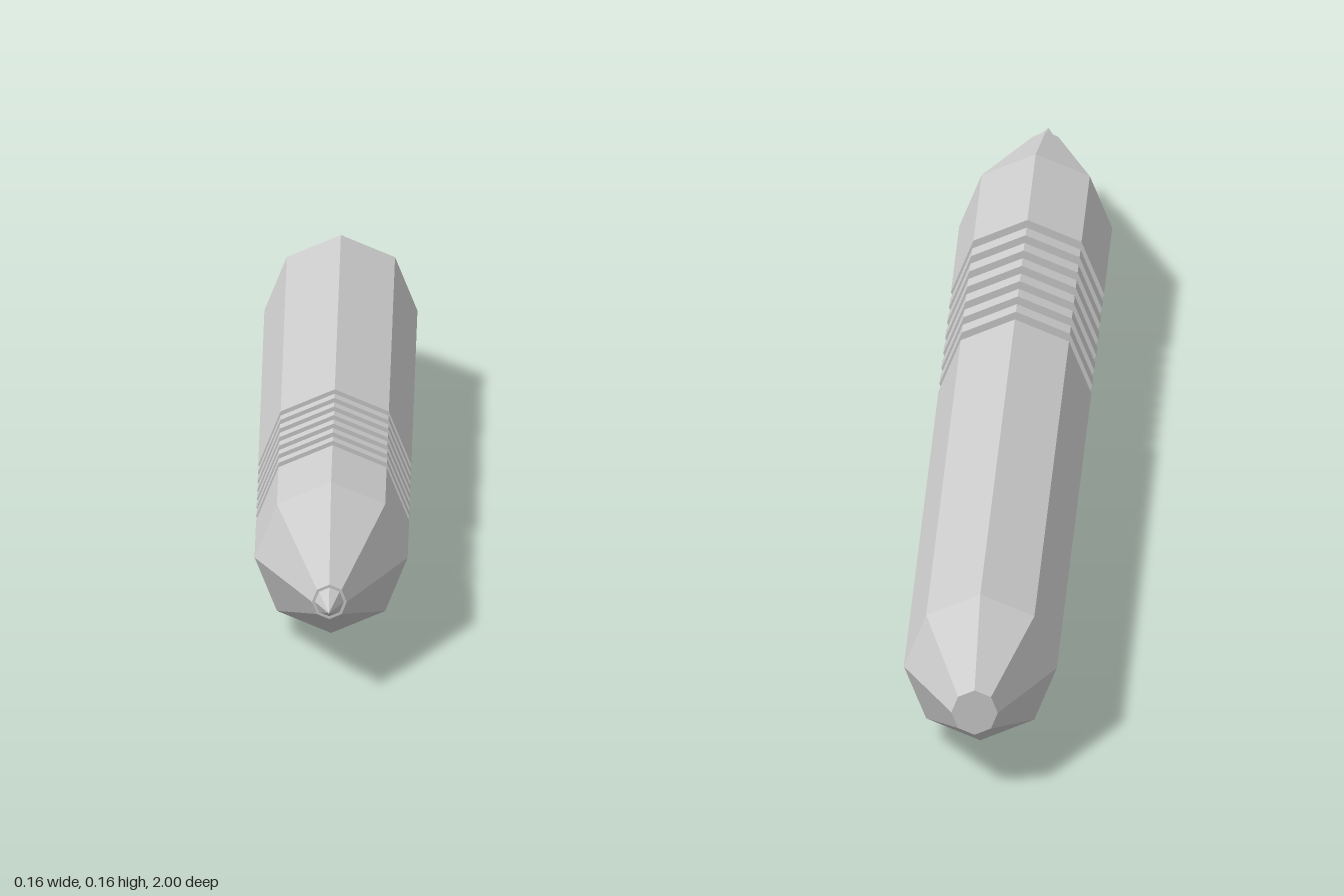
import * as THREE from 'three';

const R = 0.079;           // barrel radius, corner to axis
const GROOVE_R = 0.069;    // radius at the bottom of the grip grooves
const SIDES = 8;

const material = new THREE.MeshStandardMaterial({ color: 0xcccccc, flatShading: true });

// Eight-sided solid of revolution along z; profile is [radius, z] from back to front
function turned(name, profile, sides = SIDES) {
  const points = profile.map(([r, z]) => new THREE.Vector2(r, z));
  const geometry = new THREE.LatheGeometry(points, sides);
  geometry.rotateX(Math.PI / 2);
  const mesh = new THREE.Mesh(geometry, material);
  mesh.name = name;
  return mesh;
}

export function createModel() {
  const pen = new THREE.Group();
  pen.name = 'pen';

  const gripBack = 0.095, gripFront = 0.435, grooves = 7;
  const step = (gripFront - gripBack) / (2 * grooves - 1);

  // Long rear barrel with a tapered, flat end
  pen.add(turned('barrel', [
    [0, -1], [0.024, -1], [R, -0.845], [R, gripBack], [0, gripBack],
  ]));

  // Slimmer core running through the grip
  pen.add(turned('gripCore', [[GROOVE_R, gripBack], [GROOVE_R, gripFront]]));

  // Raised grip rings
  for (let i = 0; i < grooves - 1; i++) {
    const z = gripBack + (2 * i + 1) * step;
    pen.add(turned('gripRing', [
      [GROOVE_R, z], [R, z], [R, z + step], [GROOVE_R, z + step],
    ]));
  }

  // Front section tapering to the nose
  pen.add(turned('nose', [
    [0, gripFront], [R, gripFront], [R, 0.66], [0.018, 0.93], [0, 0.93],
  ]));

  // Fine writing point
  pen.add(turned('tip', [[0.015, 0.93], [0, 1]]));

  pen.position.y = R;
  return pen;
}
